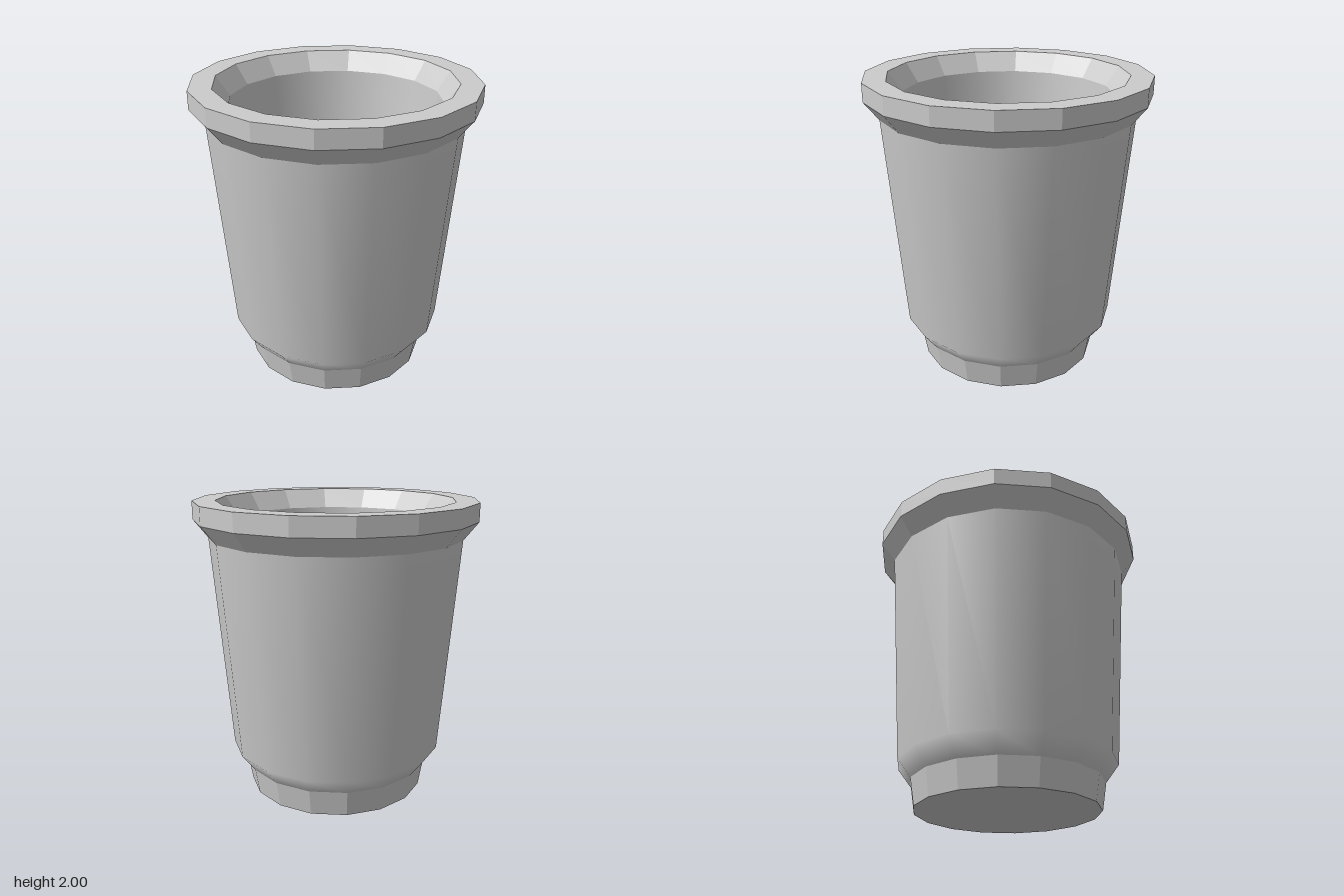
import * as THREE from 'three';

const SIDES = 16;

export function createModel() {
  const model = new THREE.Group();
  model.name = 'cup';
  const grey = new THREE.MeshStandardMaterial({ color: 0xcccccc });
  grey.name = 'light grey';

  // Revolve a profile of [radius, height] points; outer walls run upward, inner walls downward
  function ring(name, profile, faceted) {
    let geometry = new THREE.LatheGeometry(profile.map(([r, y]) => new THREE.Vector2(r, y)), SIDES);
    if (faceted) {
      geometry = geometry.toNonIndexed();
      geometry.computeVertexNormals();
    }
    const mesh = new THREE.Mesh(geometry, grey);
    mesh.name = name;
    model.add(mesh);
  }

  // Faceted foot with closed underside
  ring('foot', [[0, 0], [0.61, 0], [0.64, 0.18]], true);
  // Smooth tapered body with its lower shoulder
  ring('body', [[0.64, 0.18], [0.73, 0.3], [0.845, 1.76]], false);
  // Faceted flared rim, flat lip and inner bevel
  ring('rim', [[0.845, 1.76], [0.94, 1.88], [0.94, 2], [0.79, 2], [0.7, 1.87]], true);
  // Smooth inner wall
  ring('innerWall', [[0.7, 1.87], [0.62, 0.9]], false);
  // Gently domed inner floor
  ring('innerFloor', [[0.62, 0.9], [0.45, 0.93], [0.22, 0.952], [0, 0.96]], false);

  return model;
}
